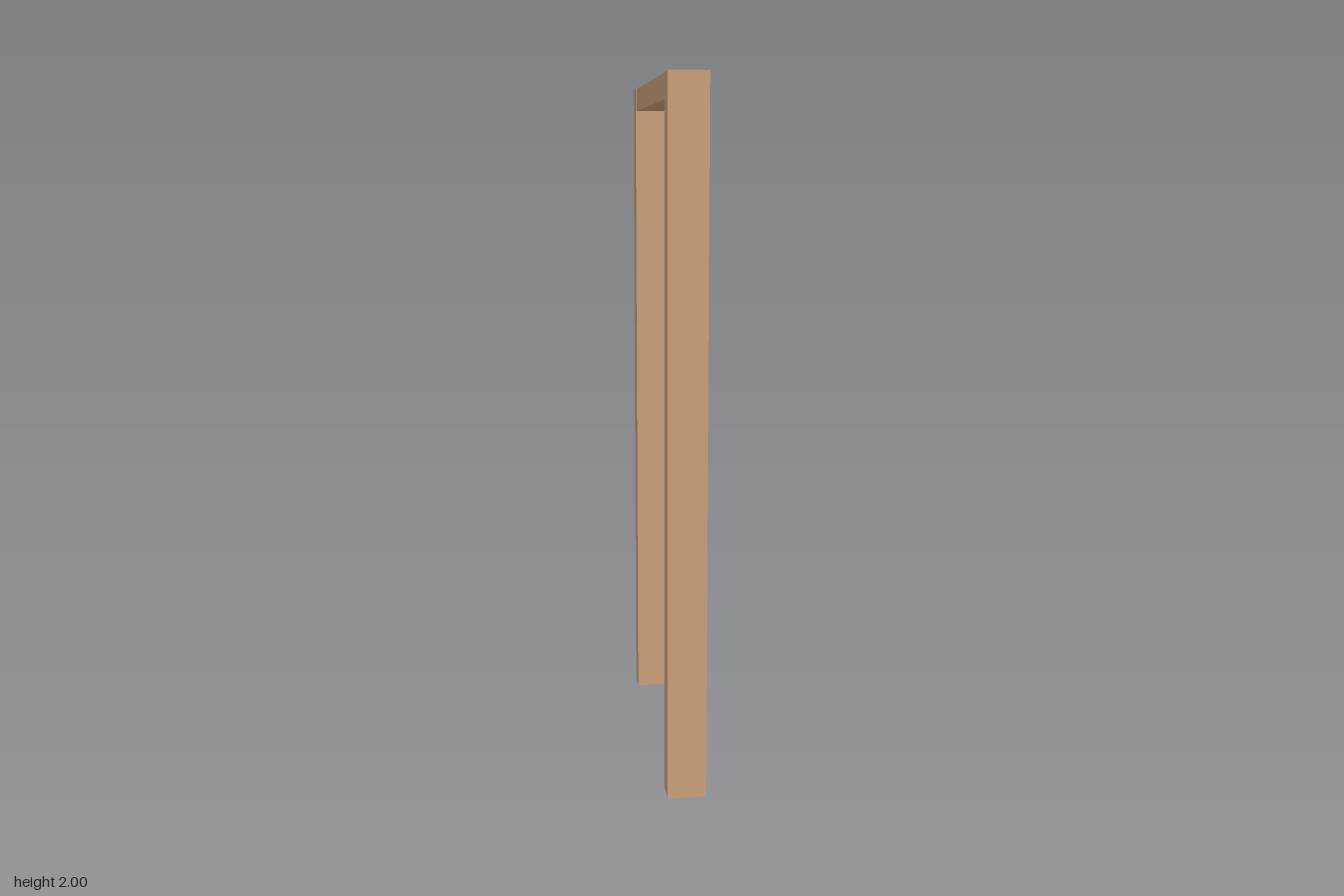
import * as THREE from 'three';

export function createModel() {
  const group = new THREE.Group();
  const wood = new THREE.MeshStandardMaterial({ color: 0xc89d78, flatShading: true });

  const addBeam = (name, size, position) => {
    const mesh = new THREE.Mesh(new THREE.BoxGeometry(...size), wood);
    mesh.name = name;
    mesh.position.set(...position);
    group.add(mesh);
  };

  const height = 2, halfSpan = 0.46, thickness = 0.072;

  // Upright posts at both ends of the frame
  for (const [name, side] of [['frontPost', 1], ['backPost', -1]]) {
    addBeam(name, [0.11, height, thickness], [0, height / 2, side * (halfSpan - thickness / 2)]);
  }

  // Head beam between the posts, set back slightly from their faces
  const headHeight = 0.068;
  addBeam('headBeam', [0.105, headHeight, 2 * (halfSpan - thickness)], [0, height - 0.002 - headHeight / 2, 0]);

  return group;
}
